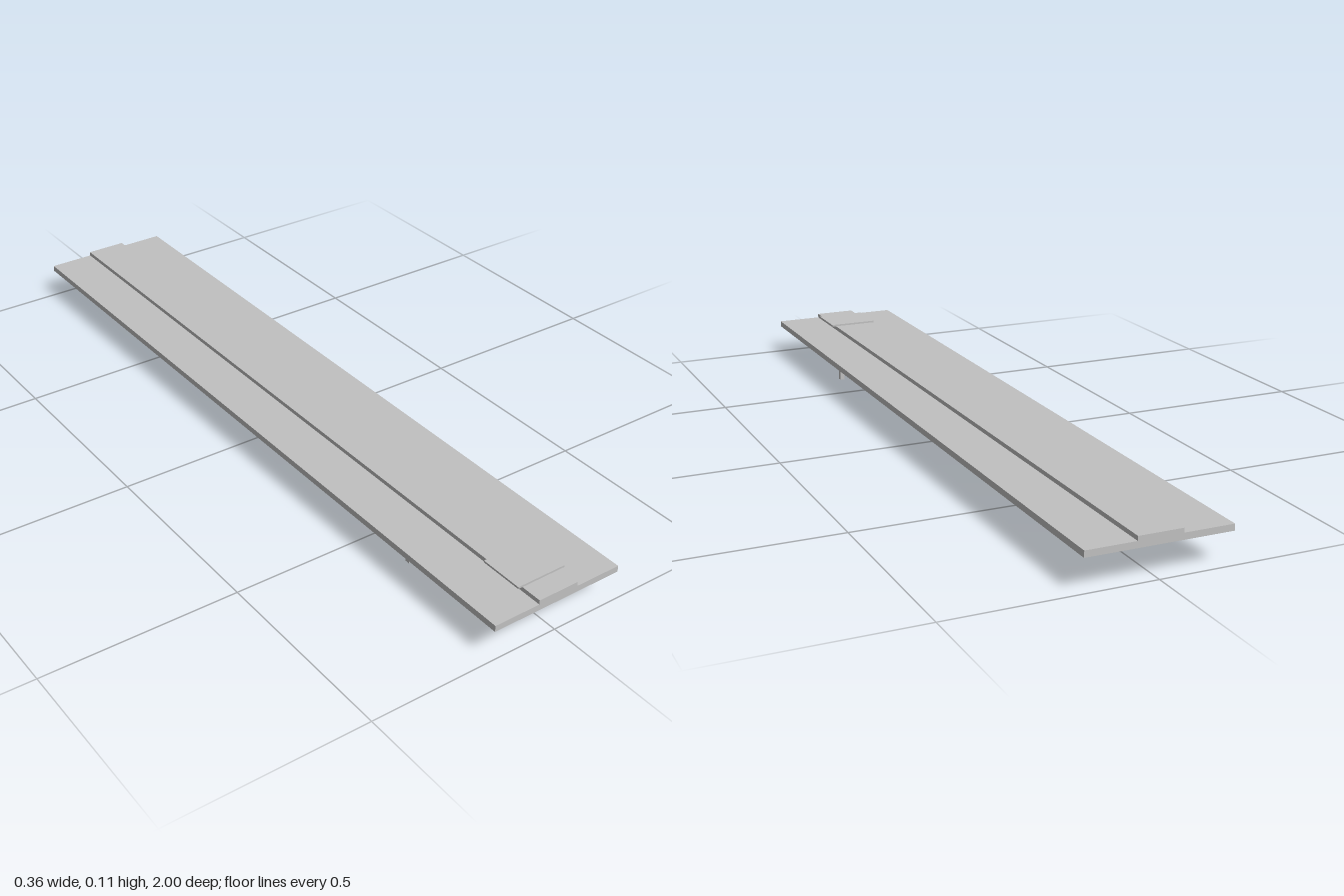
import * as THREE from 'three';

export function createModel() {
  const model = new THREE.Group();
  model.name = 'raisedTrack';

  const grey = new THREE.MeshStandardMaterial({ color: 0xc0c0c0 });
  grey.name = 'light grey';

  // Box given by its centre x, bottom and top y, back and front z
  function slab(name, width, x, y0, y1, z0, z1) {
    const mesh = new THREE.Mesh(new THREE.BoxGeometry(width, y1 - y0, z1 - z0), grey);
    mesh.position.set(x, (y0 + y1) / 2, (z0 + z1) / 2);
    mesh.name = name;
    model.add(mesh);
  }

  // Long deck with a raised centre strip
  slab('deck', 0.356, 0, 0.079, 0.095, -1, 1);
  slab('centreStrip', 0.11, 0, 0.095, 0.106, -1, 1);

  // Thin plate overhanging the strip near the front
  slab('coverPlate', 0.134, 0, 0.106, 0.111, 0.832, 0.945);

  // Pair of short square legs
  for (const side of [-1, 1]) {
    slab(side > 0 ? 'leftLeg' : 'rightLeg', 0.0125, side * 0.111, 0, 0.079, 0.624, 0.637);
  }

  return model;
}
